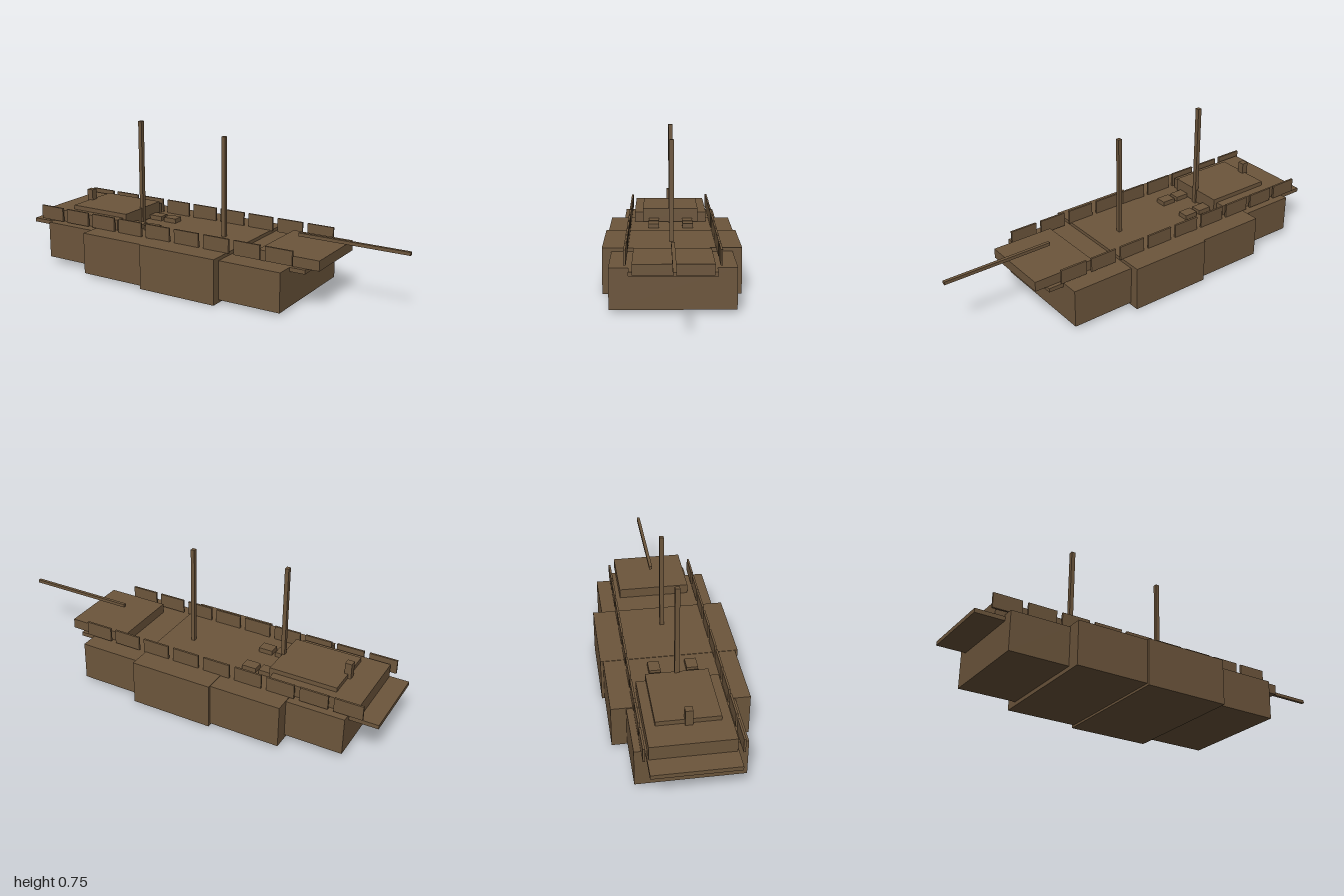
import * as THREE from 'three';

export function createModel() {
  const model = new THREE.Group();
  model.name = 'blockShip';
  const wood = new THREE.MeshStandardMaterial({ color: 0x6d563c, flatShading: true });

  // Box given by its x range, y range, half width in z and centre z
  const block = (name, x0, x1, y0, y1, halfZ, z = 0, parent = model) => {
    const mesh = new THREE.Mesh(new THREE.BoxGeometry(x1 - x0, y1 - y0, halfZ * 2), wood);
    mesh.position.set((x0 + x1) / 2, (y0 + y1) / 2, z);
    mesh.name = name;
    parent.add(mesh);
    return mesh;
  };

  // Hull sections from stern to bow
  block('hullStern', -0.86, -0.575, 0.03, 0.215, 0.247);
  block('hullAft', -0.577, -0.224, 0.011, 0.22, 0.317);
  block('hullMiddle', -0.225, 0.19, 0, 0.222, 0.33);
  block('hullBow', 0.19, 0.508, 0.014, 0.205, 0.285);

  // Long deck plate running past both ends of the hull
  block('deckPlate', -1, 0.585, 0.185, 0.205, 0.196);

  // Raised decks
  block('quarterdeck', -0.905, -0.462, 0.203, 0.273, 0.19);
  block('poopDeck', -0.775, -0.442, 0.225, 0.295, 0.145);
  block('forecastle', 0.334, 0.646, 0.205, 0.254, 0.178);

  // Masts, stern post and bowsprit
  block('mainMast', -0.453, -0.434, 0.215, 0.745, 0.011);
  block('foreMast', 0.036, 0.055, 0.215, 0.718, 0.01);
  block('sternPost', -0.79, -0.757, 0.273, 0.35, 0.017);
  block('bowsprit', 0.453, 1, 0.292, 0.308, 0.008);

  // Bulwark panels and deck hatches on both sides
  for (const side of [1, -1]) {
    const bulwark = new THREE.Group();
    bulwark.name = side > 0 ? 'frontBulwark' : 'backBulwark';
    for (let i = 0; i < 9; i++) {
      const x = -0.862 + i * 0.1655;
      block('bulwarkPanel', x - 0.069, x + 0.069, 0.22, 0.29, 0.005, side * 0.212, bulwark);
    }
    model.add(bulwark);
    for (const x of [-0.407, -0.32]) {
      block('hatch', x - 0.035, x + 0.035, 0.215, 0.243, 0.027, side * 0.088);
    }
  }
  return model;
}
